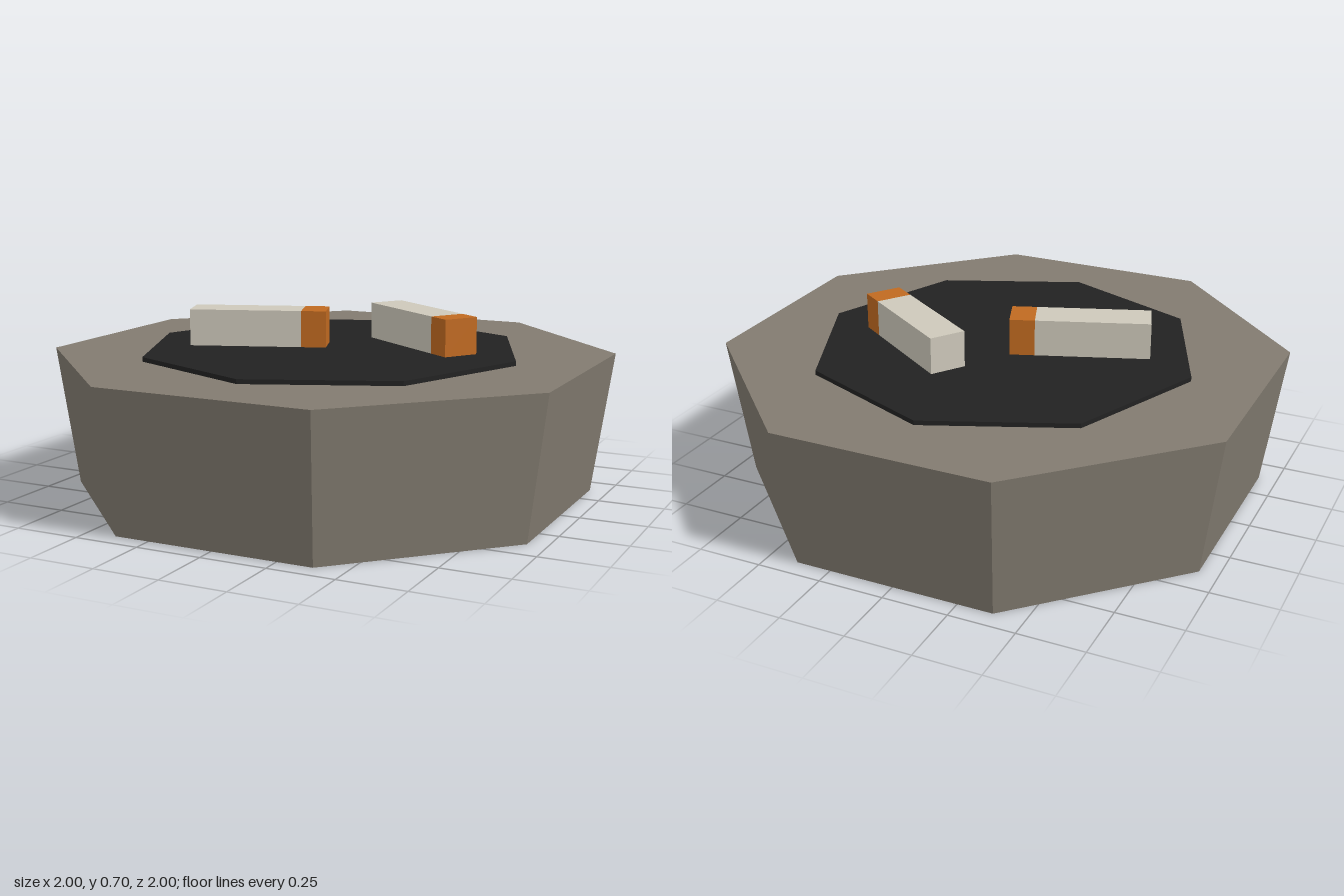
import * as THREE from 'three';

const material = (name, color) => {
  const m = new THREE.MeshStandardMaterial({ color, flatShading: true });
  m.name = name;
  return m;
};

export function createModel() {
  const stone = material('stone', 0x827b70);
  const ash = material('ash', 0x222222);
  const paper = material('paper', 0xcdc8ba);
  const filterTan = material('filter orange', 0xc06a20);

  const group = new THREE.Group();
  group.name = 'ashtray';

  const add = (parent, name, geometry, mat, x, y, z) => {
    const mesh = new THREE.Mesh(geometry, mat);
    mesh.name = name;
    mesh.position.set(x, y, z);
    parent.add(mesh);
    return mesh;
  };

  // Tapered octagonal bowl, flat sides facing the axes
  const flat = 1 / Math.cos(Math.PI / 8);
  const bowlHeight = 0.54;
  const bowlGeometry = new THREE.CylinderGeometry(flat, 0.928 * flat, bowlHeight, 8);
  bowlGeometry.rotateY(Math.PI / 8);
  add(group, 'bowl', bowlGeometry, stone, 0, bowlHeight / 2, 0);

  // Ash bed, corners facing the axes
  const ashTop = 0.557;
  add(group, 'ashBed', new THREE.CylinderGeometry(0.742, 0.742, 0.022, 8), ash, 0, ashTop - 0.011, 0);

  // Square cigarette butts with the filter at the +x end
  const length = 0.527, thick = 0.14, filterLength = 0.095;
  const paperLength = length - filterLength;
  const butts = [
    { x: -0.28, z: 0.066, turn: 0.35 },
    { x: 0.303, z: -0.168, turn: -0.6 },
  ];
  for (const { x, z, turn } of butts) {
    const butt = new THREE.Group();
    butt.name = 'cigaretteButt';
    butt.position.set(x, ashTop + thick / 2, z);
    butt.rotation.y = turn;
    add(butt, 'paper', new THREE.BoxGeometry(paperLength, thick, thick), paper, -filterLength / 2, 0, 0);
    add(butt, 'filter', new THREE.BoxGeometry(filterLength, thick, thick), filterTan, paperLength / 2, 0, 0);
    group.add(butt);
  }

  return group;
}
